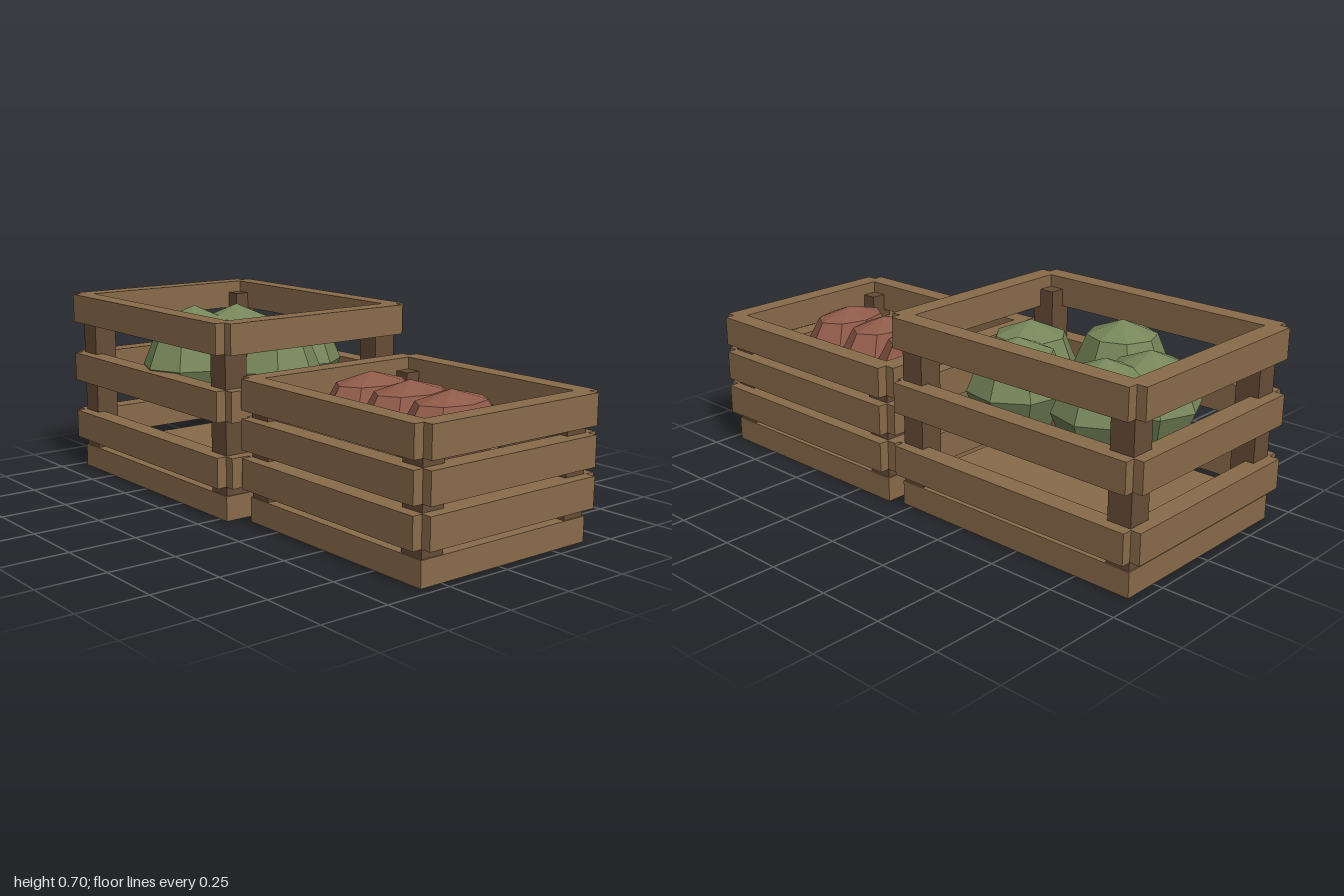
import * as THREE from 'three';

const material = (name, color) => {
  const m = new THREE.MeshStandardMaterial({ color });
  m.name = name;
  return m;
};

// box given by its min and max corners
function box(parent, name, mat, [x0, y0, z0], [x1, y1, z1]) {
  const mesh = new THREE.Mesh(new THREE.BoxGeometry(x1 - x0, y1 - y0, z1 - z0), mat);
  mesh.position.set((x0 + x1) / 2, (y0 + y1) / 2, (z0 + z1) / 2);
  mesh.name = name;
  parent.add(mesh);
}

// slatted crate: solid floor, corner posts, three rows of boards centred on the floor edges
function crate(name, { x0, x1, z0, z1, gap, postTop }, wood, darkWood) {
  const g = new THREE.Group();
  g.name = name;
  const t = 0.037, post = 0.09, inset = 0.005, boardHeight = 0.11;
  box(g, 'floor', wood, [x0, 0, z0], [x1, 0.09, z1]);

  for (const px of [x0 + inset, x1 - inset - post])
    for (const pz of [z0 + inset, z1 - inset - post])
      box(g, 'cornerPost', darkWood, [px, 0.04, pz], [px + post, postTop, pz + post]);

  for (let row = 0; row < 3; row++) {
    const y = 0.125 + row * gap, top = y + boardHeight;
    box(g, 'frontSlat', wood, [x0, y, z1 - t], [x1, top, z1 + t]);
    box(g, 'backSlat', wood, [x0, y, z0 - t], [x1, top, z0 + t]);
    box(g, 'rightSlat', wood, [x0 - t, y, z0], [x0 + t, top, z1]);
    box(g, 'leftSlat', wood, [x1 - t, y, z0], [x1 + t, top, z1]);
  }
  return g;
}

export function createModel() {
  const wood = material('wood', 0x8a6c4b);
  const darkWood = material('dark wood', 0x674c37);
  const green = material('green', 0x77875a);
  const red = material('red', 0x8f5a49);

  const model = new THREE.Group();
  model.name = 'produceCrates';

  const tall = crate('tallCrate',
    { x0: -0.963, x1: 0.04, z0: -0.38, z1: 0.403, gap: 0.235, postTop: 0.66 }, wood, darkWood);
  const low = crate('lowCrate',
    { x0: 0.092, x1: 0.963, z0: -0.403, z1: 0.336, gap: 0.14, postTop: 0.47 }, wood, darkWood);
  model.add(tall, low);

  // faceted produce shares one coarse sphere
  const ball = new THREE.SphereGeometry(1, 8, 4).toNonIndexed();
  ball.computeVertexNormals();
  const produce = (parent, name, mat, pos, scale, turn = 0) => {
    const mesh = new THREE.Mesh(ball, mat);
    mesh.name = name;
    mesh.position.set(...pos);
    mesh.scale.set(...scale);
    mesh.rotation.y = turn;
    parent.add(mesh);
  };

  // ring of five round green vegetables: x, z, turn
  for (const [x, z, turn] of [
    [-0.655, -0.135, 0.12], [-0.305, -0.165, 0.2], [-0.715, 0.03, 0.05],
    [-0.205, 0.015, 0.25], [-0.44, 0.235, 0],
  ]) produce(tall, 'greenVegetable', green, [x, 0.474, z], [0.178, 0.179, 0.178], turn);

  // row of three long red vegetables
  for (const x of [0.3, 0.5, 0.7])
    produce(low, 'redVegetable', red, [x, 0.396, -0.034], [0.135, 0.131, 0.202]);

  return model;
}
